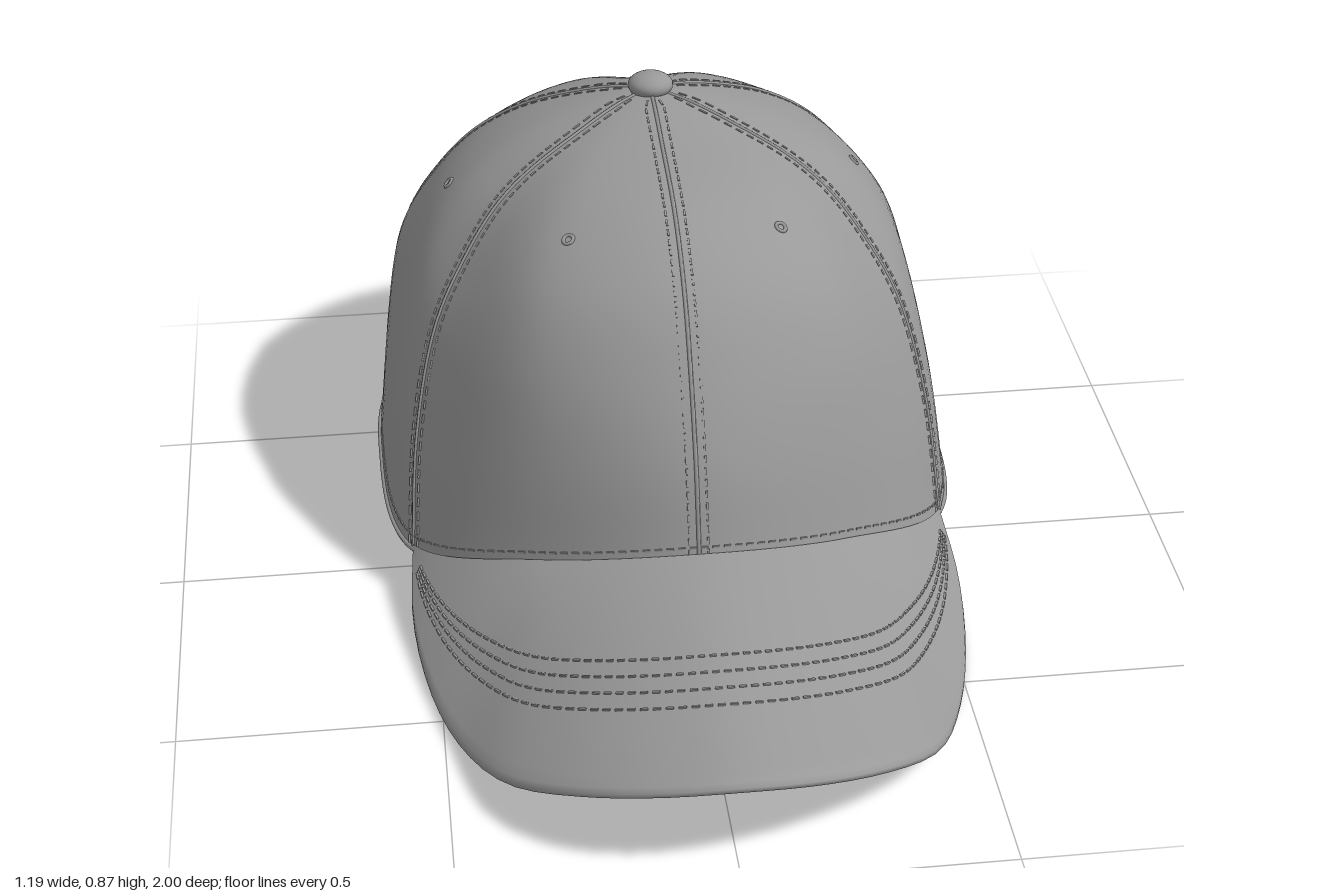
import * as THREE from 'three';
import { mergeGeometries } from 'three/addons/utils/BufferGeometryUtils.js';

const V = (x, y, z) => new THREE.Vector3(x, y, z);
const APEX = V(0, 0.84, -0.43);

// Crown meridians from top to rim: front, mid front, front seam, side, rear seam, mid rear, back
const HALF = [
  [[0, .82, -.2], [0, .785, 0], [0, .70, .15], [0, .58, .25], [0, .43, .335], [0, .26, .39]],
  [[.11, .815, -.24], [.2, .77, -.08], [.26, .68, .06], [.29, .55, .155], [.3, .38, .23], [.3, .2, .29]],
  [[.18, .80, -.30], [.31, .725, -.23], [.40, .62, -.165], [.47, .49, -.10], [.515, .30, -.02], [.535, .09, .06]],
  [[.2, .80, -.41], [.35, .725, -.38], [.45, .63, -.36], [.51, .51, -.34], [.55, .32, -.32], [.588, .06, -.31]],
  [[.19, .785, -.53], [.33, .70, -.59], [.43, .59, -.62], [.50, .46, -.64], [.53, .27, -.65], [.545, .035, -.66]],
  [[.1, .79, -.59], [.18, .71, -.71], [.24, .60, -.80], [.27, .46, -.86], [.285, .27, -.89], [.29, .02, -.89]],
  [[0, .78, -.60], [0, .69, -.75], [0, .575, -.87], [0, .45, -.95], [0, .25, -.995], [0, .01, -.995]],
];
const MERIDIANS = Array.from({ length: 12 }, (_, i) =>
  HALF[i <= 6 ? i : 12 - i].map(([x, y, z]) => V(i <= 6 ? x : -x, y, z)));

function spline(a, b, c, d, t) {
  const k = (p, q, r, s) => q + 0.5 * t * (r - p + t * (2 * p - 5 * q + 4 * r - s + t * (3 * (q - r) + s - p)));
  return V(k(a.x, b.x, c.x, d.x), k(a.y, b.y, c.y, d.y), k(a.z, b.z, c.z, d.z));
}

// One ring of the crown at a whole level; level 0 is the apex, 6 the rim
function ring(u, level) {
  if (level === 0) return APEX.clone();
  if (level < 0) return ring(u + 6, -level);
  if (level > 6) return ring(u, 6).multiplyScalar(2).sub(ring(u, 5));
  const i = Math.floor(u);
  const m = n => MERIDIANS[(((i + n) % 12) + 12) % 12][level - 1];
  return spline(m(-1), m(0), m(1), m(2), u - i);
}

function crown(u, v) {
  const j = Math.min(5, Math.floor(v));
  return spline(ring(u, j - 1), ring(u, j), ring(u, j + 1), ring(u, j + 2), v - j);
}

// Lowest level of the cloth: the rim, or the edge of the rear arch
function endLevel(u) {
  const off = Math.abs(u - 6);
  if (off >= 0.9999) return 6;
  const y = 0.03 + 0.34 * Math.pow(Math.sqrt(1 - off * off), 0.7);
  let lo = 2, hi = 6;
  for (let n = 0; n < 24; n++) {
    const mid = (lo + hi) / 2;
    if (crown(u, mid).y > y) lo = mid; else hi = mid;
  }
  return lo;
}

function grid(fn, nu, nv, closed = false) {
  const pos = [], index = [], cols = closed ? nu : nu + 1;
  for (let i = 0; i < cols; i++) for (let j = 0; j <= nv; j++) pos.push(...fn(i, j).toArray());
  for (let i = 0; i < nu; i++) for (let j = 0; j < nv; j++) {
    const a = i * (nv + 1) + j, b = ((i + 1) % cols) * (nv + 1) + j;
    index.push(a, a + 1, b, b, a + 1, b + 1);
  }
  const g = new THREE.BufferGeometry();
  g.setAttribute('position', new THREE.Float32BufferAttribute(pos, 3));
  g.setIndex(index);
  g.computeVertexNormals();
  return g;
}

// A row of small thread dashes along a path
function stitches(path, count) {
  const dashes = [];
  for (let i = 0; i < count; i++) {
    const a = path((i + 0.2) / count), b = path((i + 0.8) / count);
    const o = new THREE.Object3D();
    o.position.copy(a).add(b).multiplyScalar(0.5);
    o.lookAt(b);
    o.updateMatrix();
    dashes.push(new THREE.BoxGeometry(0.004, 0.004, a.distanceTo(b)).applyMatrix4(o.matrix));
  }
  return mergeGeometries(dashes);
}

// Wrap flat strap pieces around the back of the head
function bend(g) {
  const p = g.attributes.position;
  for (let i = 0; i < p.count; i++) p.setZ(i, p.getZ(i) - 0.985 + 1.15 * p.getX(i) ** 2);
  g.computeVertexNormals();
  return g;
}

// Strap with a rounded tip at x = tip, running to x = root
function strap(tip, root, z) {
  const g = new THREE.BoxGeometry(Math.abs(root - tip), 0.13, 0.01, 60, 1, 1);
  g.translate((tip + root) / 2, 0, 0);
  const p = g.attributes.position;
  for (let i = 0; i < p.count; i++) {
    const d = Math.max(0, 1 - Math.abs(p.getX(i) - tip) / 0.065);
    p.setY(i, p.getY(i) * Math.max(0.02, Math.sqrt(1 - Math.min(1, d * d))));
  }
  return bend(g.translate(0, 0.08, z));
}

export function createModel() {
  const cap = new THREE.Group();
  const cloth = new THREE.MeshStandardMaterial({ color: 0x999999, side: THREE.DoubleSide });
  cloth.name = 'grey cloth';
  const add = (name, geometry) => {
    const mesh = new THREE.Mesh(geometry, cloth);
    mesh.name = name;
    cap.add(mesh);
    return mesh;
  };

  // Crown with the rear opening
  const us = [];
  for (let i = 0; i < 40; i++) us.push(i / 8);
  for (let i = 0; i <= 28; i++) us.push(6 - Math.cos(i / 28 * Math.PI));
  for (let i = 57; i < 96; i++) us.push(i / 8);
  const ends = us.map(endLevel);
  add('crown', grid((i, j) => crown(us[i], ends[i] * j / 36), us.length, 36, true));

  // Binding around the rim and the opening
  const edge = new THREE.CatmullRomCurve3(us.map((u, i) => crown(u, ends[i])), true);
  add('rimBinding', new THREE.TubeGeometry(edge, 260, 0.006, 6, true));

  // Sweatband inside the rim
  add('sweatband', grid((i, j) => {
    const p = crown(7 + i / 8, 5.4 + 0.6 * j / 4);
    return V(p.x * 0.975, p.y + 0.004, (p.z + 0.3) * 0.975 - 0.3);
  }, 80, 4));

  // Six panel seams, each with a row of stitches on both sides
  for (let u = 0; u < 12; u += 2) {
    const end = endLevel(u);
    const line = t => crown(u, 0.15 + (end - 0.15) * t);
    const pts = Array.from({ length: 25 }, (_, i) => line(i / 24));
    add('panelSeam', new THREE.TubeGeometry(new THREE.CatmullRomCurve3(pts), 50, 0.004, 6));
    for (const s of [-1, 1]) {
      add('seamStitching', stitches(t => {
        const v = 0.25 + (end - 0.25) * t;
        const width = crown(u + 0.05, v).distanceTo(crown(u - 0.05, v)) / 0.1;
        return crown(u + s * Math.min(0.4, 0.018 / width), v);
      }, 45));
    }
  }
  add('hemStitching', stitches(t => crown(7 + 10 * t, 5.88), 140));

  // Eyelets, one in each panel
  for (const [u, v] of [[0.88, 2.4], [3.12, 2.6], [5.15, 3]]) for (const w of [u, 12 - u]) {
    const p = crown(w, v);
    const n = crown(w, v + 0.05).sub(p).cross(crown(w + 0.05, v).sub(p)).normalize();
    const eyelet = add('eyelet', new THREE.TorusGeometry(0.01, 0.004, 6, 16));
    eyelet.position.copy(p);
    eyelet.lookAt(p.clone().add(n));
  }

  // Top button
  const button = add('topButton', new THREE.SphereGeometry(0.046, 24, 14));
  button.scale.y = 0.58;
  button.position.set(0, 0.849, -0.43);
  button.rotation.x = -0.1;

  // Curved brim: an inner edge on the crown and an arched outer edge
  const side = [[.535, .09, .05], [.545, .038, .22], [.52, .013, .42], [.47, .023, .6],
    [.39, .08, .78], [.27, .145, .9], [.14, .19, .97]];
  const outer = new THREE.CatmullRomCurve3([
    ...side.map(([x, y, z]) => V(-x, y, z)), V(0, .212, .998),
    ...side.reverse().map(([x, y, z]) => V(x, y, z))]);
  const brim = (t, r) => crown(4 * t - 2, 6).lerp(outer.getPoint(t), r);
  const N = 20, section = [];
  for (let k = 0; k <= N; k++) section.push([k / N * 0.985, 0.01]);
  section.push([1, 0.004], [1, -0.005]);
  for (let k = N; k >= 0; k--) section.push([k / N * 0.985, -0.012]);
  add('brim', grid((i, j) => {
    const [r, h] = section[j];
    const p = brim(i / 48, r);
    p.y += h;
    return p;
  }, 48, section.length - 1));
  for (const r of [0.46, 0.53, 0.6, 0.67]) {
    add('brimStitching', stitches(t => {
      const p = brim(0.04 + 0.92 * t, r);
      p.y += 0.011;
      return p;
    }, 70));
  }

  // Adjustable strap: two overlapping bands
  add('outerStrap', strap(-0.21, 0.2, -0.006));
  add('innerStrap', strap(0.21, -0.29, 0.006));

  // Open end of the outer band with its holes
  const tab = new THREE.Shape();
  tab.moveTo(0.2, 0.015).lineTo(0.29, 0.015).lineTo(0.29, 0.145).lineTo(0.2, 0.145);
  for (const y of [0.055, 0.11]) {
    tab.holes.push(new THREE.Path().absarc(0.224, y, 0.01, 0, Math.PI * 2, true));
  }
  add('strapTab', bend(new THREE.ExtrudeGeometry(tab, { depth: 0.01, bevelEnabled: false, curveSegments: 8 })
    .translate(0, 0, -0.011)));

  // Snap pegs in two rows
  for (let i = -2; i <= 2; i++) for (const y of [0.05, 0.11]) {
    const peg = new THREE.CylinderGeometry(0.011, 0.011, 0.01, 12).rotateX(Math.PI / 2);
    add('snapPeg', bend(peg.translate(i * 0.08, y, -0.012)));
  }
  return cap;
}
